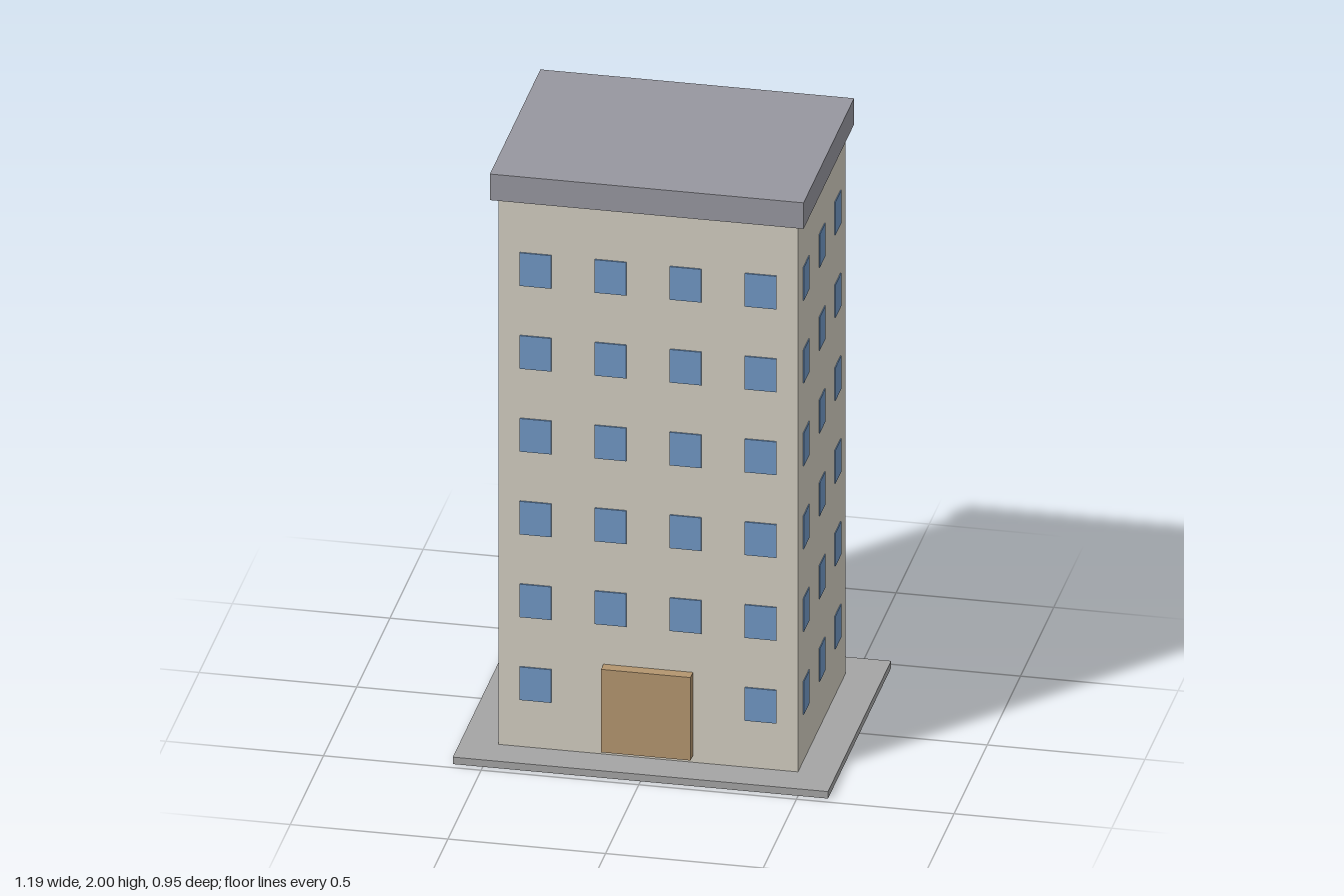
import * as THREE from 'three';

const paint = (color) => new THREE.MeshStandardMaterial({ color });

export function createModel() {
  const model = new THREE.Group();
  model.name = 'apartmentBlock';

  const wall = paint(0xd2cdc0);
  const glass = paint(0x7097c4);
  const wood = paint(0xb3956f);
  const roofGrey = paint(0x97979f);
  const stone = paint(0xa4a4a4);

  // Box given by its size, centre x/z and bottom height
  function box(name, material, [w, h, d], [x, bottom, z], parent = model) {
    const mesh = new THREE.Mesh(new THREE.BoxGeometry(w, h, d), material);
    mesh.name = name;
    mesh.position.set(x, bottom + h / 2, z);
    parent.add(mesh);
    return mesh;
  }

  // Main masses
  const W = 0.95, D = 0.714;
  box('baseSlab', stone, [1.19, 0.024, 0.95], [0, 0, 0]);
  box('walls', wall, [W, 1.9, D], [0, 0.012, 0]);
  box('roofSlab', roofGrey, [0.995, 0.09, 0.76], [0, 1.91, 0]);
  box('entranceDoor', wood, [0.284, 0.286, 0.05], [0, 0.048, 0.37]);

  // Thin window panes standing just proud of the walls
  const windows = new THREE.Group();
  windows.name = 'windows';
  model.add(windows);
  const height = 0.114, thick = 0.02, proud = 0.005, sideProud = 0.003;
  const zFace = D / 2 + proud - thick / 2;
  const xFace = W / 2 + sideProud - thick / 2;

  for (let floor = 0; floor < 6; floor++) {
    const y = 0.186 + floor * 0.2857;
    for (const x of [-0.357, -0.119, 0.119, 0.357]) {
      // The door takes the two middle places on the ground floor
      if (floor > 0 || Math.abs(x) > 0.2) {
        box('frontWindow', glass, [0.1, height, thick], [x, y, zFace], windows);
      }
      box('backWindow', glass, [0.1, height, thick], [x, y, -zFace], windows);
    }
    for (const z of [-0.238, 0, 0.238]) {
      box('leftWindow', glass, [thick, height, 0.085], [xFace, y, z], windows);
      box('rightWindow', glass, [thick, height, 0.085], [-xFace, y, z], windows);
    }
  }
  return model;
}
